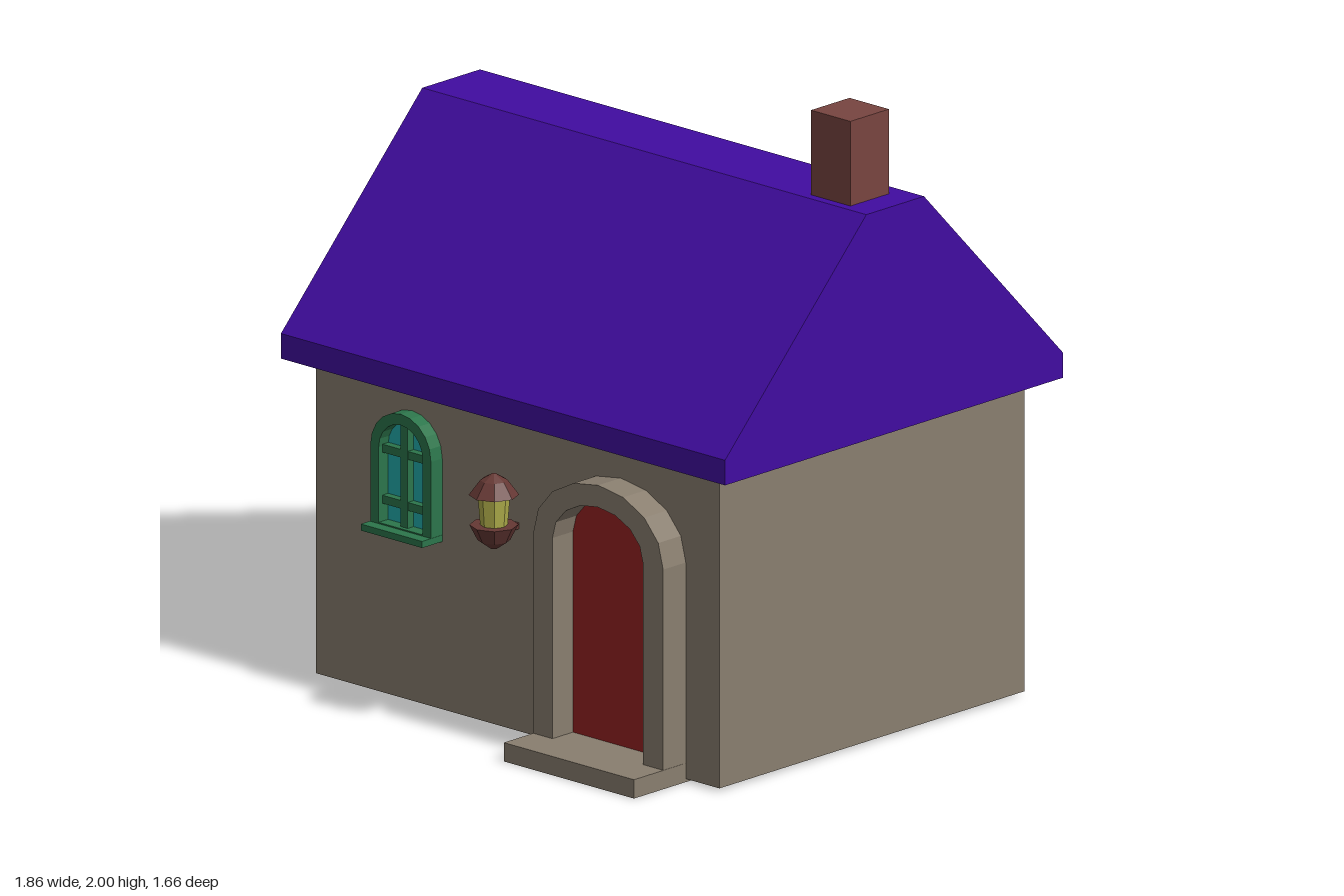
import * as THREE from 'three';

const mat = (name, color) => {
  const m = new THREE.MeshStandardMaterial({ color });
  m.name = name;
  return m;
};

export function createModel() {
  const stone = mat('stone', 0x897e6f);
  const roofPurple = mat('roof purple', 0x410ca0);
  const brick = mat('brick', 0x784540);
  const doorRed = mat('door red', 0x962222);
  const frameGreen = mat('frame green', 0x2c754b);
  const paneTeal = mat('pane teal', 0x23acac);
  const lanternBrown = mat('lantern brown', 0x653834);
  const lampYellow = mat('lamp yellow', 0xaeac4a);

  const house = new THREE.Group();
  house.name = 'house';

  const add = (name, geometry, material, parent = house) => {
    const mesh = new THREE.Mesh(geometry, material);
    mesh.name = name;
    parent.add(mesh);
    return mesh;
  };
  // Box given by its minimum and maximum on each axis
  const box = (name, [x0, x1], [y0, y1], [z0, z1], material, parent) => {
    const mesh = add(name, new THREE.BoxGeometry(x1 - x0, y1 - y0, z1 - z0), material, parent);
    mesh.position.set((x0 + x1) / 2, (y0 + y1) / 2, (z0 + z1) / 2);
    return mesh;
  };
  const points = (list) => list.map(([x, y]) => new THREE.Vector2(x, y));
  // Arched outline: straight jambs up to the spring line, then half an ellipse
  const arch = (cx, halfWidth, bottom, spring, top, segments) => {
    const list = [[cx - halfWidth, bottom], [cx + halfWidth, bottom]];
    for (let i = 0; i <= segments; i++) {
      const a = (Math.PI * i) / segments;
      list.push([cx + halfWidth * Math.cos(a), spring + (top - spring) * Math.sin(a)]);
    }
    return points(list);
  };
  // Extrude an outline from z0 to z1, with an optional hole
  const slab = (name, outline, hole, z0, z1, material, parent) => {
    const shape = new THREE.Shape(outline);
    if (hole) shape.holes.push(new THREE.Path(hole));
    const geometry = new THREE.ExtrudeGeometry(shape, { depth: z1 - z0, bevelEnabled: false });
    return add(name, geometry.translate(0, 0, z0), material, parent);
  };

  // Walls, roof and chimney
  box('walls', [-0.845, 0.845], [0.01, 1.02], [-0.75, 0.6], stone);
  const roofProfile = points([
    [-0.665, 1.01], [0.83, 1.01], [0.83, 1.09], [0.215, 1.73], [-0.04, 1.73], [-0.665, 1.09],
  ]);
  slab('roof', roofProfile, null, -0.93, 0.93, roofPurple).rotation.y = Math.PI / 2;
  box('chimney', [0.67, 0.835], [1.5, 2], [-0.16, 0.01], brick);

  // Door with its stone arch and step
  const door = new THREE.Group();
  door.name = 'door';
  house.add(door);
  const doorOpening = arch(0.43, 0.19, 0.03, 0.7, 0.84, 8);
  slab('doorArch', arch(0.432, 0.272, 0.01, 0.7, 0.91, 8), doorOpening, 0.59, 0.7, stone, door);
  slab('doorPanel', doorOpening, null, 0.6, 0.609, doorRed, door);
  box('doorStep', [0.16, 0.705], [0, 0.06], [0.57, 0.83], stone, door);

  // Arched window with glazing bars and sill
  const win = new THREE.Group();
  win.name = 'window';
  house.add(win);
  const cx = -0.443;
  const opening = arch(cx, 0.092, 0.57, 0.81, 0.9, 10);
  slab('windowFrame', arch(cx, 0.127, 0.55, 0.81, 0.935, 10), opening, 0.59, 0.65, frameGreen, win);
  slab('windowPane', opening, null, 0.6, 0.608, paneTeal, win);
  box('verticalBar', [cx - 0.015, cx + 0.015], [0.565, 0.9], [0.6, 0.635], frameGreen, win);
  for (const y of [0.64, 0.803]) {
    box('crossBar', [cx - 0.1, cx + 0.1], [y - 0.013, y + 0.013], [0.6, 0.634], frameGreen, win);
  }
  box('windowSill', [-0.572, -0.315], [0.545, 0.566], [0.59, 0.69], frameGreen, win);

  // Eight-sided wall lantern
  const lantern = new THREE.Group();
  lantern.name = 'lantern';
  lantern.position.set(-0.005, 0, 0.7);
  house.add(lantern);
  const ring = (name, rTop, rBottom, y0, y1, material) => {
    const geometry = new THREE.CylinderGeometry(rTop, rBottom, y1 - y0, 8).toNonIndexed();
    geometry.computeVertexNormals();
    add(name, geometry, material, lantern).position.y = (y0 + y1) / 2;
  };
  ring('lanternBase', 0.05, 0.012, 0.615, 0.641, lanternBrown);
  ring('lanternCup', 0.075, 0.05, 0.641, 0.69, lanternBrown);
  ring('lanternGlass', 0.05, 0.042, 0.69, 0.79, lampYellow);
  ring('lanternCap', 0.042, 0.077, 0.785, 0.832, lanternBrown);
  ring('lanternPeak', 0.006, 0.042, 0.832, 0.853, lanternBrown);
  box('lanternBracket', [-0.01, 0.01], [0.655, 0.675], [-0.1, -0.04], lanternBrown, lantern);

  return house;
}
